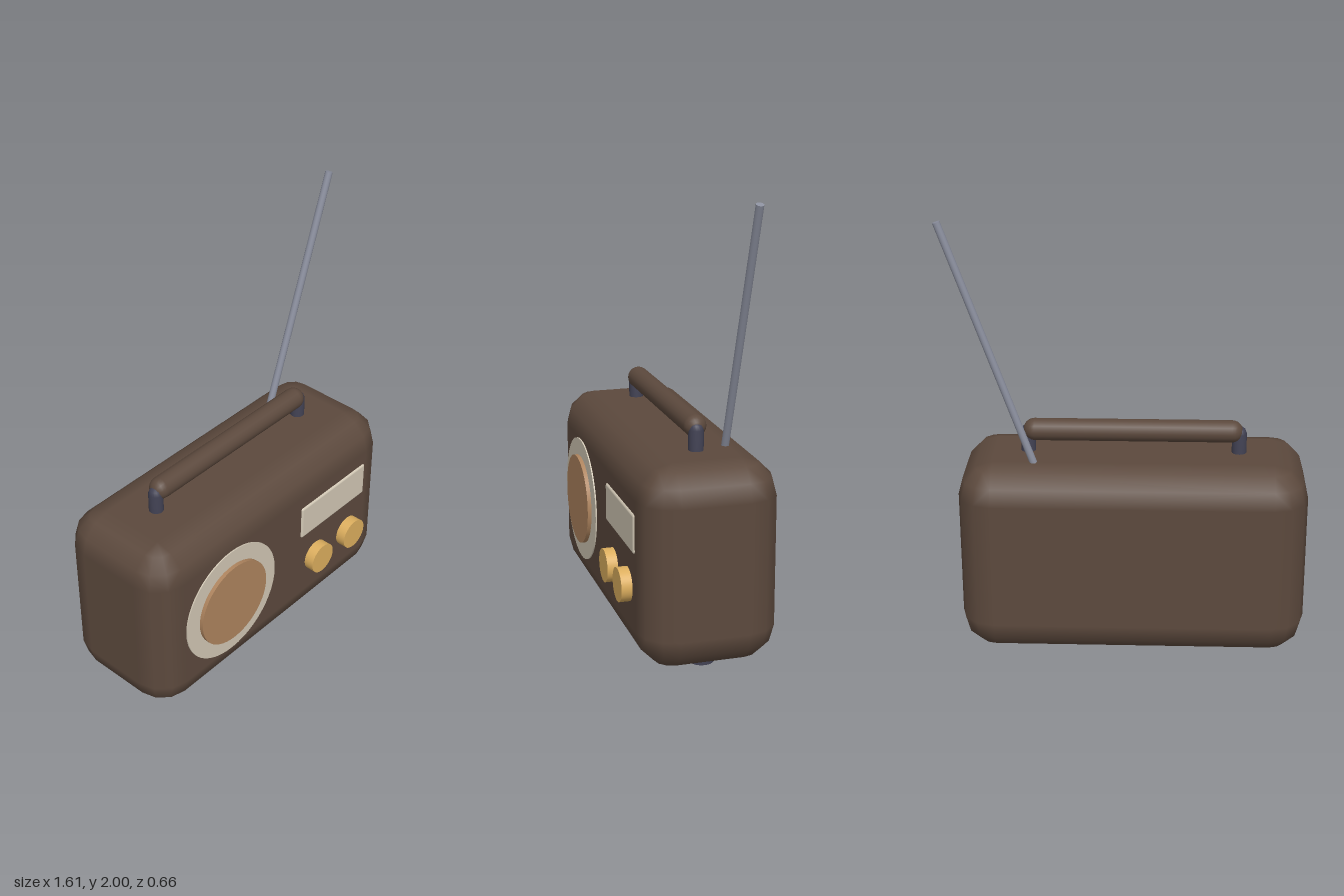
import * as THREE from 'three';
import { ConvexGeometry } from 'three/addons/geometries/ConvexGeometry.js';
import { RoundedBoxGeometry } from 'three/addons/geometries/RoundedBoxGeometry.js';

const material = (name, color) => {
  const m = new THREE.MeshStandardMaterial({ color });
  m.name = name;
  return m;
};

// Box with three-step rounded edges and smooth normals
function bevelledBox(w, h, d, r) {
  const inner = new THREE.Vector3(w / 2 - r, h / 2 - r, d / 2 - r);
  const points = [];
  for (const sx of [-1, 1]) for (const sy of [-1, 1]) for (const sz of [-1, 1]) {
    for (let i = 0; i <= 3; i++) for (let j = 0; j <= (i === 3 ? 0 : 3); j++) {
      const a = i * Math.PI / 6, b = j * Math.PI / 6;
      points.push(new THREE.Vector3(
        sx * (inner.x + r * Math.cos(a) * Math.cos(b)),
        sy * (inner.y + r * Math.sin(a)),
        sz * (inner.z + r * Math.cos(a) * Math.sin(b))));
    }
  }
  const geometry = new ConvexGeometry(points);
  const { position, normal } = geometry.attributes;
  const p = new THREE.Vector3(), core = new THREE.Vector3(), low = inner.clone().negate();
  for (let i = 0; i < position.count; i++) {
    p.fromBufferAttribute(position, i);
    core.copy(p).clamp(low, inner);
    p.sub(core).normalize();
    normal.setXYZ(i, p.x, p.y, p.z);
  }
  return geometry;
}

export function createModel() {
  const brown = material('case brown', 0x5c493d);
  const cream = material('cream', 0xd2c8b5);
  const tan = material('speaker tan', 0xae845e);
  const brass = material('brass', 0xdcae5e);
  const dark = material('dark slate', 0x424254);
  const steel = material('steel', 0x8b8f9e);

  const group = new THREE.Group();
  group.name = 'portableRadio';
  const add = (name, geometry, mat, x, y, z) => {
    const mesh = new THREE.Mesh(geometry, mat);
    mesh.name = name;
    mesh.position.set(x, y, z);
    group.add(mesh);
    return mesh;
  };
  // Cylinder whose axis points to the front, from z0 to z1
  const disc = (name, r, mat, x, y, z0, z1) =>
    add(name, new THREE.CylinderGeometry(r, r, z1 - z0, 48).rotateX(Math.PI / 2), mat, x, y, (z0 + z1) / 2);

  // Case
  add('case', bevelledBox(1.55, 0.89, 0.61, 0.155), brown, -0.035, 0.475, -0.025);

  // Speaker
  disc('speakerRing', 0.29, cream, -0.365, 0.475, 0.26, 0.286);
  disc('speakerGrille', 0.21, tan, -0.365, 0.475, 0.27, 0.304);

  // Dial panel and knobs
  add('dialPanel', new RoundedBoxGeometry(0.46, 0.175, 0.04, 2, 0.012), cream, 0.342, 0.617, 0.268);
  for (const x of [0.225, 0.46]) disc('knob', 0.075, brass, x, 0.36, 0.26, 0.328);

  // Handle on two round-topped posts
  const post = new THREE.LatheGeometry([
    [0.033, 0], [0.033, 0.13], [0.026, 0.15], [0.014, 0.16], [0, 0.162],
  ].map(([r, y]) => new THREE.Vector2(r, y)), 20);
  for (const x of [-0.506, 0.437]) add('handlePost', post, dark, x, 0.88, -0.027);
  const grip = new THREE.CapsuleGeometry(0.05, 0.88, 6, 20).rotateZ(Math.PI / 2);
  add('handleGrip', grip, brown, -0.032, 1.02, -0.03);

  // Feet
  for (const x of [-0.6, 0.535]) {
    add('foot', new THREE.CylinderGeometry(0.055, 0.055, 0.06, 24), dark, x, 0.03, -0.025);
  }

  // Leaning antenna
  const from = new THREE.Vector3(0.396, 0.895, -0.168), to = new THREE.Vector3(0.784, 1.994, -0.168);
  const mid = from.clone().lerp(to, 0.5);
  const antenna = add('antenna', new THREE.CylinderGeometry(0.017, 0.017, from.distanceTo(to), 12),
    steel, mid.x, mid.y, mid.z);
  antenna.quaternion.setFromUnitVectors(new THREE.Vector3(0, 1, 0), to.sub(from).normalize());

  return group;
}
